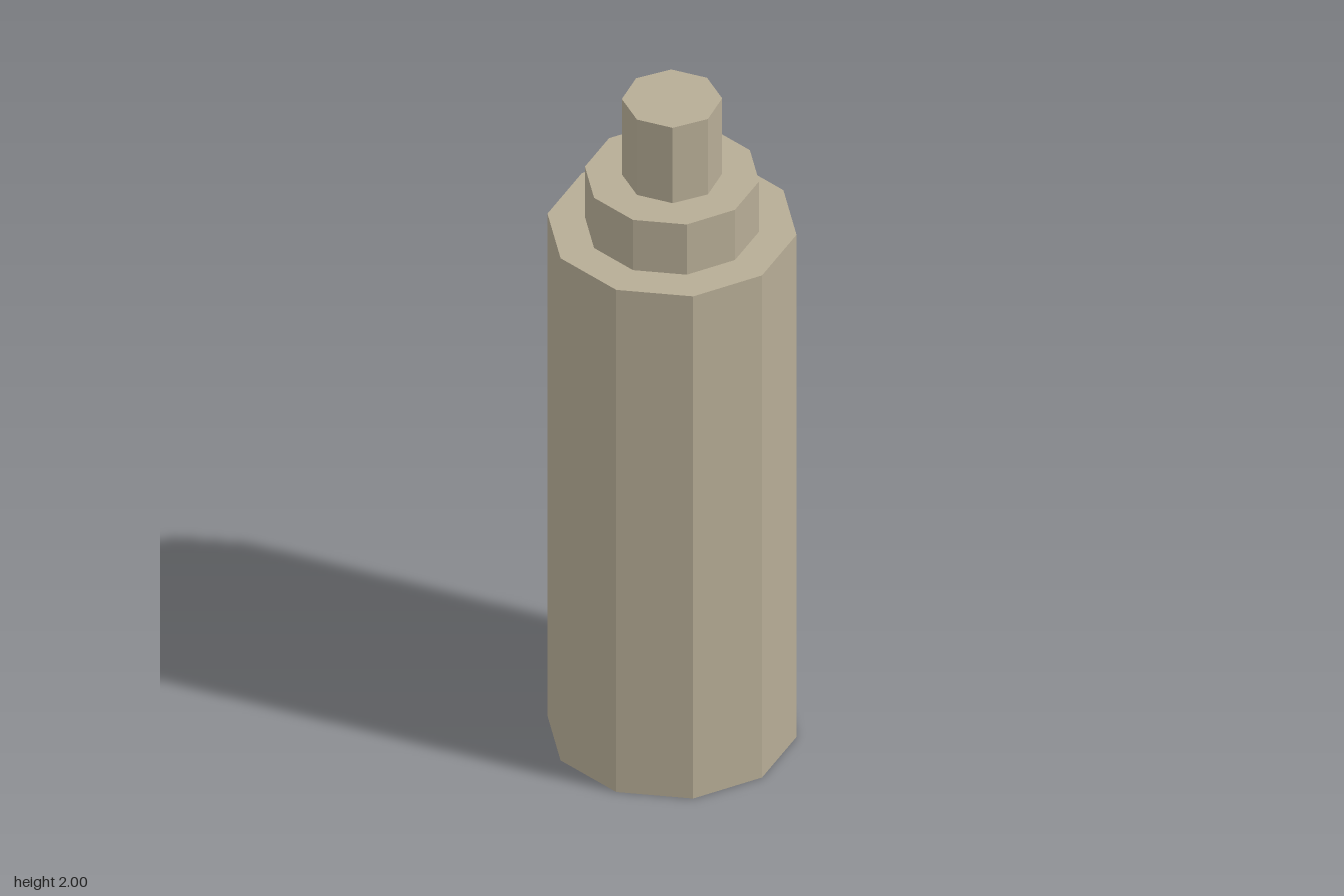
import * as THREE from 'three';

export function createModel() {
  const model = new THREE.Group();
  model.name = 'steppedCylinder';

  const khaki = new THREE.MeshStandardMaterial({ color: 0xb6ac95, flatShading: true });
  khaki.name = 'khaki';

  // Upright faceted prism between two heights, with a corner facing +z
  function addPrism(name, radius, sides, bottom, top) {
    const geometry = new THREE.CylinderGeometry(radius, radius, top - bottom, sides);
    const mesh = new THREE.Mesh(geometry, khaki);
    mesh.name = name;
    mesh.position.y = (bottom + top) / 2;
    model.add(mesh);
  }

  addPrism('body', 0.326, 10, 0, 1.6);
  addPrism('collar', 0.228, 10, 1.6, 1.76);
  addPrism('tip', 0.13, 8, 1.76, 2);

  return model;
}
